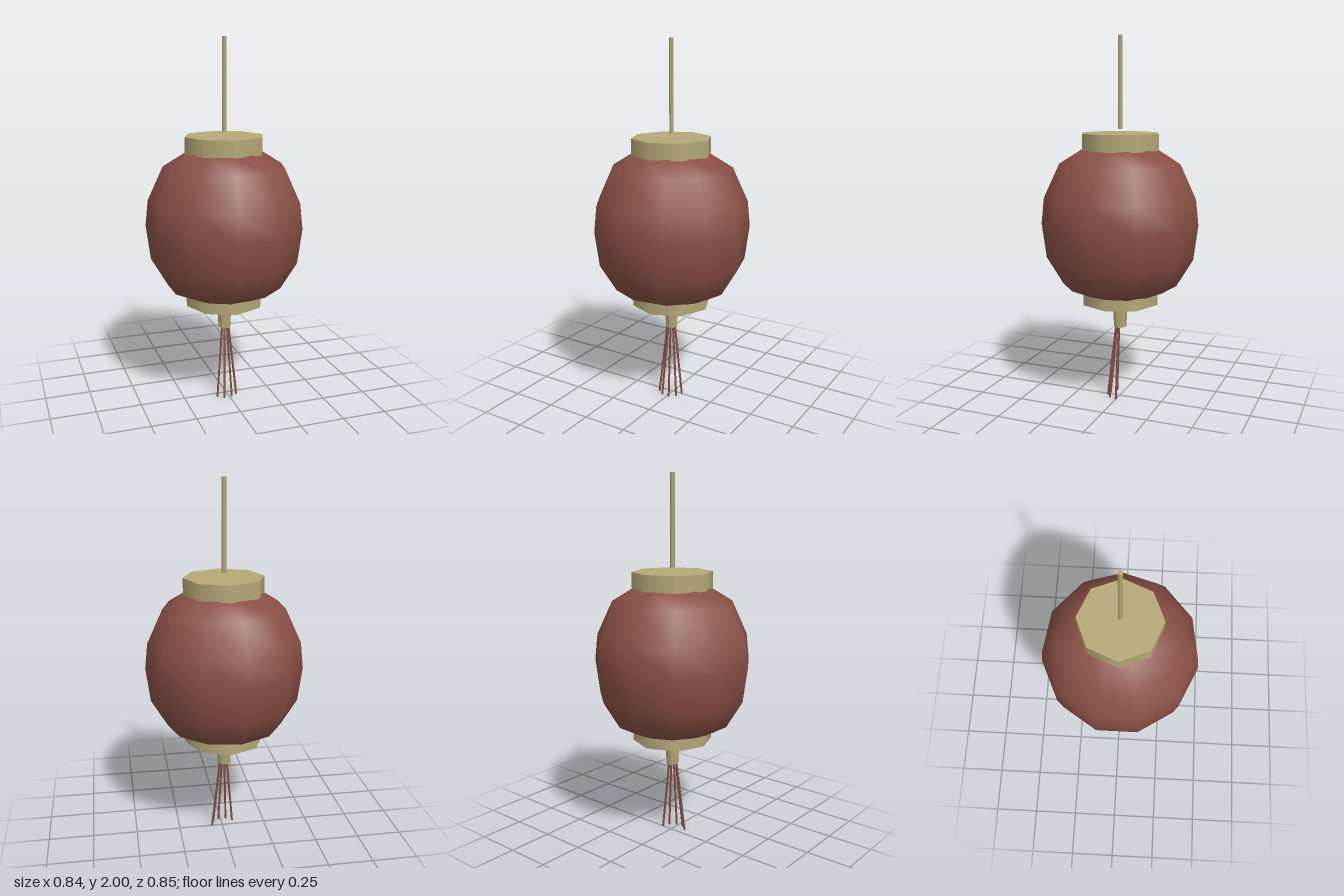
import * as THREE from 'three';

const mat = (name, color) => {
  const m = new THREE.MeshStandardMaterial({ color });
  m.name = name;
  return m;
};

export function createModel() {
  const lantern = new THREE.Group();
  lantern.name = 'lantern';
  const red = mat('dull red paper', 0x8a5046);
  const tan = mat('tan wood', 0xb5a878);
  const AXIS_X = -0.01; // the lantern's axis sits slightly off centre

  const add = (name, geometry, material, y = 0) => {
    const mesh = new THREE.Mesh(geometry, material);
    mesh.name = name;
    mesh.position.set(AXIS_X, y, 0);
    lantern.add(mesh);
    return mesh;
  };

  // Eleven-sided paper shade, listed from bottom to top as radius, height
  const profile = [
    [0, 0.59], [0.2, 0.61], [0.315, 0.66], [0.405, 0.81], [0.43, 1.0],
    [0.415, 1.14], [0.33, 1.325], [0.205, 1.403], [0, 1.43],
  ].map(([r, y]) => new THREE.Vector2(r, y));
  add('paperShade', new THREE.LatheGeometry(profile, 11, Math.PI / 2), red);

  // Eight-sided caps above and below the shade
  for (const [name, y] of [['topCap', 1.443], ['bottomCap', 0.6]]) {
    add(name, new THREE.CylinderGeometry(0.219, 0.219, 0.09, 8), tan, y);
  }

  // Hanging rod and tassel knob
  add('hangingRod', new THREE.CylinderGeometry(0.013, 0.013, 0.49, 6, 1, false, Math.PI / 2), tan, 1.755);
  add('tasselKnob', new THREE.CylinderGeometry(0.043, 0.035, 0.15, 6, 1, false, Math.PI / 2), tan, 0.483);

  // Five tassel strands fanned over the front half
  const up = new THREE.Vector3(0, 1, 0);
  for (let i = 0; i < 5; i++) {
    const a = (i * Math.PI) / 5;
    const top = new THREE.Vector3(0.023 * Math.cos(a), 0.412, 0.023 * Math.sin(a));
    const end = new THREE.Vector3(0.07 * Math.cos(a), 0.001, 0.07 * Math.sin(a));
    const dir = top.clone().sub(end);
    const strand = add('tasselStrand', new THREE.CylinderGeometry(0.006, 0.006, dir.length(), 5), red);
    strand.position.add(top.add(end).multiplyScalar(0.5));
    strand.quaternion.setFromUnitVectors(up, dir.normalize());
  }
  return lantern;
}
